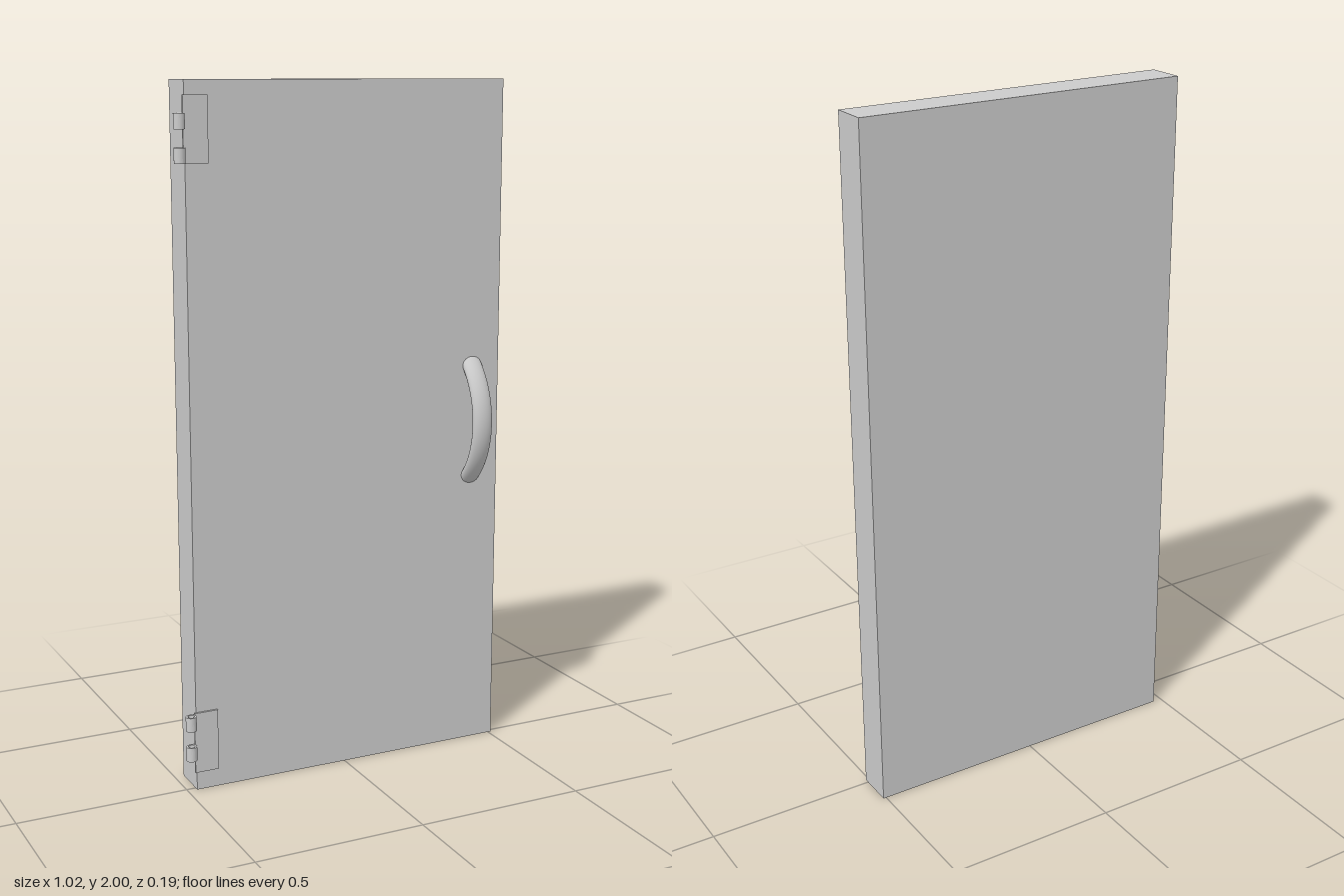
import * as THREE from 'three';

const grey = new THREE.MeshStandardMaterial({ color: 0xcccccc });
const FRONT = 0.013; // z of the door's front face

function addBox(parent, name, x0, x1, y0, y1, z0, z1) {
  const mesh = new THREE.Mesh(new THREE.BoxGeometry(x1 - x0, y1 - y0, z1 - z0), grey);
  mesh.name = name;
  mesh.position.set((x0 + x1) / 2, (y0 + y1) / 2, (z0 + z1) / 2);
  parent.add(mesh);
}

// Hollow barrel, extruded upwards
function knuckleGeometry(height) {
  const ring = new THREE.Shape().absarc(0, 0, 0.0155, 0, Math.PI * 2, false);
  ring.holes.push(new THREE.Path().absarc(0, 0, 0.0095, 0, Math.PI * 2, true));
  return new THREE.ExtrudeGeometry(ring, { depth: height, bevelEnabled: false, curveSegments: 16 })
    .rotateX(-Math.PI / 2);
}

// Leaf screwed to the door, with knuckles in two of its four slots
function createHinge(name, y, slots) {
  const hinge = new THREE.Group();
  hinge.name = name;
  hinge.position.y = y;
  const slot = 0.045, height = 0.042;
  addBox(hinge, 'hingeLeaf', -0.478, -0.407, 0, slot * 4, FRONT, 0.0195);
  for (const i of slots) {
    const y0 = i * slot + 0.0015;
    addBox(hinge, 'hingeTab', -0.493, -0.476, y0, y0 + height, 0.0155, 0.0195);
    const knuckle = new THREE.Mesh(knuckleGeometry(height), grey);
    knuckle.name = 'hingeKnuckle';
    knuckle.position.set(-0.4935, y0, 0.0315);
    hinge.add(knuckle);
  }
  return hinge;
}

export function createModel() {
  const door = new THREE.Group();
  door.name = 'door';

  addBox(door, 'doorPanel', -0.472, 0.509, 0, 2, -0.097, FRONT);

  // Mirrored hinges near the top and bottom
  door.add(createHinge('upperHinge', 1.78, [0, 2]));
  door.add(createHinge('lowerHinge', 0.055, [1, 3]));

  // Bowed handle: an arc of flattened tube whose ends sink into the panel
  const arc = THREE.MathUtils.degToRad(100);
  const handle = new THREE.Mesh(
    new THREE.TorusGeometry(0.243, 0.0185, 32, 48, arc)
      .rotateZ(-arc / 2)
      .scale(1, 1, 0.031 / 0.0185)
      .rotateY(-Math.PI / 2),
    grey
  );
  handle.name = 'handle';
  handle.position.set(0.42, 1.005, -0.1645);
  door.add(handle);

  return door;
}
